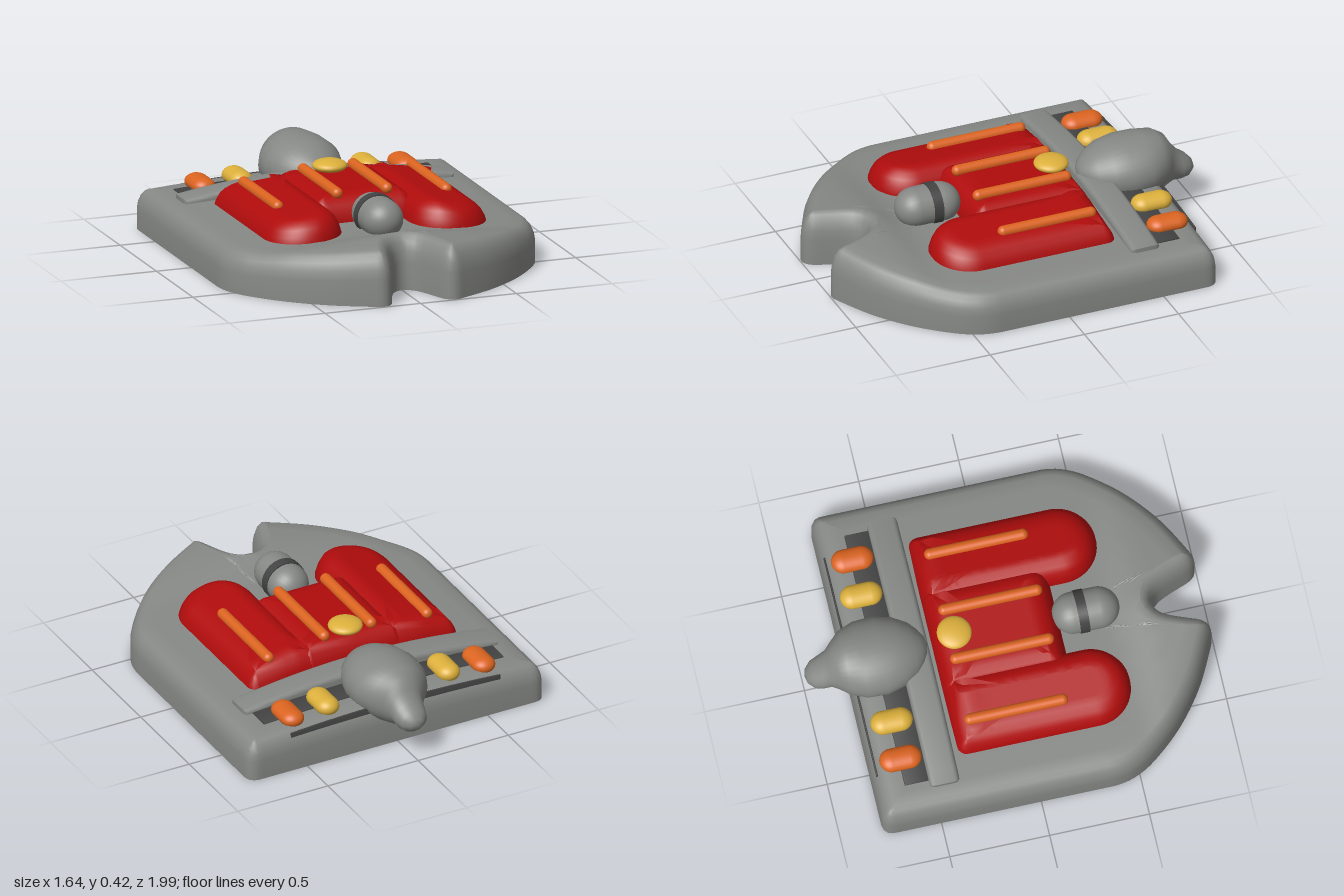
import * as THREE from 'three';
import { toCreasedNormals } from 'three/addons/utils/BufferGeometryUtils.js';

const paint = (name, color) => {
  const m = new THREE.MeshStandardMaterial({ color });
  m.name = name;
  return m;
};

// Skins a list of equal-length closed rings of points
function skin(rings, crease = 0.7) {
  const n = rings[0].length, pos = [], index = [];
  rings.forEach(r => r.forEach(p => pos.push(p.x, p.y, p.z)));
  for (let k = 0; k < rings.length - 1; k++) {
    for (let i = 0; i < n; i++) {
      const j = (i + 1) % n;
      const a = k * n + i, b = k * n + j, c = b + n, d = a + n;
      index.push(a, c, b, a, d, c);
    }
  }
  const g = new THREE.BufferGeometry();
  g.setAttribute('position', new THREE.Float32BufferAttribute(pos, 3));
  g.setIndex(index);
  return toCreasedNormals(g, crease);
}

// Slab from a plan outline: a profile of [inset, share of height], then a top closing on a centre
function slab(shape, count, profile, centre, height) {
  const pts = shape.getSpacedPoints(count).slice(0, count);
  const normals = pts.map((p, i) => {
    const t = pts[(i + 1) % count].clone().sub(pts[(i + count - 1) % count]).normalize();
    return new THREE.Vector2(-t.y, t.x);
  });
  const ring = (inset, f, t) => pts.map((p, i) => {
    const q = p.clone().addScaledVector(normals[i], inset).lerp(centre, t);
    return new THREE.Vector3(q.x, f * height(q.x, q.y), q.y);
  });
  const rings = [ring(0, 0, 1)];
  profile.forEach(([inset, f]) => rings.push(ring(inset, f, 0)));
  const last = profile[profile.length - 1];
  for (let s = 1; s <= 12; s++) rings.push(ring(last[0], 1, s / 12));
  return skin(rings);
}

// Plan rectangle with separate corner radii at the back and front
function roundPlan(cx, hw, z0, z1, rb, rf) {
  const s = new THREE.Shape(), P = Math.PI;
  s.moveTo(cx, z0);
  s.absarc(cx + hw - rb, z0 + rb, rb, -P / 2, 0);
  s.absarc(cx + hw - rf, z1 - rf, rf, 0, P / 2);
  s.absarc(cx - hw + rf, z1 - rf, rf, P / 2, P);
  s.absarc(cx - hw + rb, z0 + rb, rb, P, P * 1.5);
  s.lineTo(cx, z0);
  return s;
}

// Shield outline with a notch at the front
function shieldPlan() {
  const s = new THREE.Shape();
  const v = (x, z) => new THREE.Vector2(x, z);
  s.moveTo(0, -0.79);
  s.lineTo(0.76, -0.79);
  s.quadraticCurveTo(0.82, -0.79, 0.82, -0.73);
  s.lineTo(0.82, 0.38);
  s.splineThru([v(0.80, 0.47), v(0.74, 0.58), v(0.6, 0.74), v(0.42, 0.88), v(0.21, 0.99)]);
  s.quadraticCurveTo(0.16, 1.01, 0.13, 0.95);
  s.splineThru([v(0.08, 0.82), v(0.045, 0.765), v(0, 0.745), v(-0.045, 0.765), v(-0.08, 0.82), v(-0.13, 0.95)]);
  s.quadraticCurveTo(-0.16, 1.01, -0.21, 0.99);
  s.splineThru([v(-0.42, 0.88), v(-0.6, 0.74), v(-0.74, 0.58), v(-0.80, 0.47), v(-0.82, 0.38)]);
  s.lineTo(-0.82, -0.73);
  s.quadraticCurveTo(-0.82, -0.79, -0.76, -0.79);
  s.lineTo(0, -0.79);
  return s;
}

// Strip across the model whose top and bottom arch up towards the middle
function archedStrip(hw, yEnd, yMid, z0, z1, bevel) {
  const s = new THREE.Shape(), w = hw - bevel, e = yEnd - bevel;
  s.moveTo(-w, 0.15);
  s.lineTo(w, 0.15);
  s.lineTo(w, e);
  s.quadraticCurveTo(0, 2 * (yMid - bevel) - e, -w, e);
  const g = new THREE.ExtrudeGeometry(s, {
    depth: z1 - z0 - 2 * bevel, bevelThickness: bevel, bevelSize: bevel, bevelSegments: 4, curveSegments: 32,
  });
  g.translate(0, 0, z0 + bevel);
  return toCreasedNormals(g, 0.6);
}

// Capsule lying along z
function capsule(r, ry, z0, z1) {
  const g = new THREE.CapsuleGeometry(r, z1 - z0 - 2 * r, 10, 24);
  g.rotateX(Math.PI / 2);
  g.scale(1, ry / r, 1);
  g.translate(0, 0, (z0 + z1) / 2);
  return g;
}

export function createModel() {
  const grey = paint('stone grey', 0x868885);
  const dark = paint('dark grey', 0x434343);
  const red = paint('deep red', 0xb00c0c);
  const orange = paint('orange', 0xdb6420);
  const yellow = paint('golden yellow', 0xdcb03c);

  const model = new THREE.Group();
  const add = (name, geometry, material, x = 0, y = 0, z = 0) => {
    const m = new THREE.Mesh(geometry, material);
    m.name = name;
    m.position.set(x, y, z);
    model.add(m);
    return m;
  };

  // Shield base, gently domed, with a raised rim at the notch
  const deck = (x, z) => {
    const a = Math.min(1, Math.abs(x) / 0.8);
    return 0.2 + 0.03 * (1 - a * a) + 0.055 * THREE.MathUtils.smoothstep(z, 0.52, 0.72) * (1 - a);
  };
  add('shieldBase', slab(shieldPlan(), 260,
    [[0, 0], [0, 0.5], [0.006, 0.68], [0.02, 0.84], [0.04, 0.95], [0.065, 1]],
    new THREE.Vector2(0, 0.1), deck), grey);

  // Red body: middle pad and two long side lobes
  const puff = [[0, 0.5], [0, 0.66], [0.012, 0.78], [0.03, 0.88], [0.055, 0.95], [0.09, 0.99], [0.12, 1]];
  add('middlePad', slab(roundPlan(0, 0.28, -0.36, 0.27, 0.05, 0.08), 120, puff,
    new THREE.Vector2(0, -0.05), () => 0.352), red);
  for (const s of [-1, 1]) {
    add('sideLobe', slab(roundPlan(s * 0.38, 0.2, -0.36, 0.545, 0.05, 0.195), 120, puff,
      new THREE.Vector2(s * 0.38, 0.09), x => 0.345 - 0.16 * Math.max(0, Math.abs(x) - 0.3)), red);
    // Raised stripes
    add('innerStripe', capsule(0.028, 0.028, -0.3, 0.22), orange, s * 0.13, 0.36);
    add('outerStripe', capsule(0.028, 0.028, -0.3, 0.22), orange, s * 0.44, 0.325);
    // Rounded pegs along the back
    add('outerPeg', capsule(0.06, 0.042, -0.745, -0.535), orange, s * 0.53, 0.23);
    add('innerPeg', capsule(0.06, 0.045, -0.745, -0.535), yellow, s * 0.335, 0.243);
  }

  // Yellow button
  const button = add('button', new THREE.SphereGeometry(0.086, 32, 20), yellow, 0, 0.372, -0.25);
  button.scale.y = 0.38;

  // Front knob and its band
  add('frontKnob', capsule(0.104, 0.1, 0.24, 0.575), grey, 0, 0.29);
  const band = new THREE.CylinderGeometry(0.108, 0.108, 0.048, 40);
  band.rotateX(Math.PI / 2);
  add('knobBand', band, dark, 0, 0.288, 0.385);

  // Arched cross bar, dark tray and thin rear slot
  add('crossBar', archedStrip(0.705, 0.232, 0.29, -0.53, -0.38, 0.025), grey);
  add('darkTray', archedStrip(0.665, 0.214, 0.238, -0.65, -0.51, 0.005), dark);
  add('rearSlot', archedStrip(0.58, 0.2, 0.222, -0.772, -0.764, 0.001), dark);

  // Rear bulb with a small tail: [z, half width, centre y, half height]
  const stations = [
    [-0.385, 0, 0.28, 0], [-0.395, 0.045, 0.28, 0.035], [-0.42, 0.09, 0.275, 0.07], [-0.46, 0.135, 0.27, 0.105],
    [-0.53, 0.176, 0.27, 0.138], [-0.62, 0.2, 0.27, 0.152], [-0.72, 0.195, 0.27, 0.153],
    [-0.80, 0.16, 0.272, 0.148], [-0.85, 0.115, 0.262, 0.13], [-0.88, 0.09, 0.24, 0.1],
    [-0.92, 0.083, 0.215, 0.076], [-0.96, 0.07, 0.205, 0.058], [-0.99, 0.038, 0.2, 0.03], [-1, 0, 0.2, 0],
  ];
  add('rearBulb', skin(stations.map(([z, rx, cy, ry]) => Array.from({ length: 36 }, (_, i) => {
    const a = i / 36 * Math.PI * 2;
    return new THREE.Vector3(Math.cos(a) * rx, cy + Math.sin(a) * ry, z);
  })), 1.0), grey);

  return model;
}
